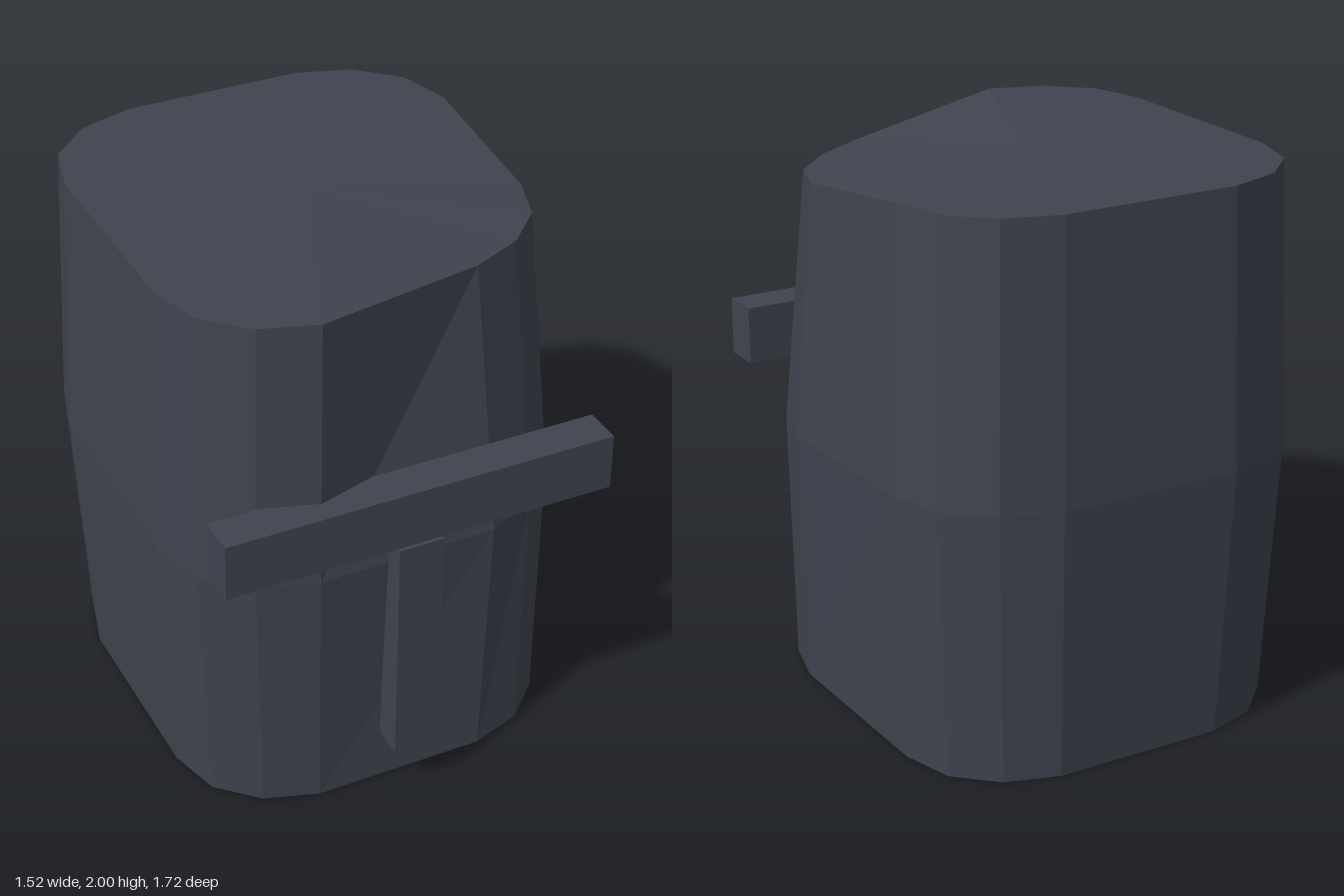
import * as THREE from 'three';

// Corner offsets inward from the sides (x) and from the front or back (z)
const CORNER = [[0, 0.41], [0.055, 0.205], [0.2, 0.065], [0.4, 0]];

// Rounded-square ring of 16 points, counter-clockwise seen from above,
// starting at the front left corner; "dent" replaces that corner's points
function ring(y, half, back, front, dent) {
  const s = half / 0.73;
  const corner = (sx, sz) => CORNER.map(([dx, dz]) => [
    sx * (half - dx * s), y, sz > 0 ? front - dz * s : back + dz * s]);
  return [
    ...(dent || corner(1, 1).reverse()),
    ...corner(1, -1),
    ...corner(-1, -1).reverse(),
    ...corner(-1, 1),
  ];
}

// Body: three rings joined by flat facets, with fan caps
function bodyGeometry() {
  const rings = [
    ring(0, 0.705, -0.81, 0.73),
    ring(1, 0.76, -0.86, 0.785,
      [[0.34, 0.97, 0.74], [0.54, 0.97, 0.64], [0.70, 0.97, 0.47], [0.76, 0.98, 0.26]]),
    ring(2, 0.73, -0.83, 0.765,
      [[0.33, 1.937, 0.57], [0.53, 1.927, 0.47], [0.67, 1.925, 0.33], [0.73, 1.93, 0.15]]),
  ];
  const n = rings[0].length;
  const pos = [];
  const tri = (a, b, c) => pos.push(...a, ...b, ...c);
  for (let k = 0; k < 2; k++) {
    for (let i = 0; i < n; i++) {
      const j = (i + 1) % n;
      const a = rings[k][i], b = rings[k][j], c = rings[k + 1][j], d = rings[k + 1][i];
      tri(a, b, c);
      tri(a, c, d);
    }
  }
  for (let i = 0; i < n; i++) {
    const j = (i + 1) % n;
    tri([0, 0, -0.04], rings[0][j], rings[0][i]);
    tri([0, 2, -0.04], rings[2][i], rings[2][j]);
  }
  const g = new THREE.BufferGeometry();
  g.setAttribute('position', new THREE.Float32BufferAttribute(pos, 3));
  g.computeVertexNormals();
  return g;
}

export function createModel() {
  const group = new THREE.Group();
  const slate = new THREE.MeshStandardMaterial({ color: 0x40444f });
  slate.name = 'dark slate';

  const body = new THREE.Mesh(bodyGeometry(), slate);
  body.name = 'body';
  group.add(body);

  // Box given by its minimum and maximum corners
  const box = (name, min, max) => {
    const size = max.map((v, i) => v - min[i]);
    const mesh = new THREE.Mesh(new THREE.BoxGeometry(...size), slate);
    mesh.position.set(...max.map((v, i) => (v + min[i]) / 2));
    mesh.name = name;
    group.add(mesh);
  };
  // Horizontal bar and upright strip on the front
  box('crossBar', [-0.72, 1.11, 0.715], [0.72, 1.32, 0.86]);
  box('uprightStrip', [-0.083, 0.2, 0.72], [0.083, 1.088, 0.848]);

  return group;
}
